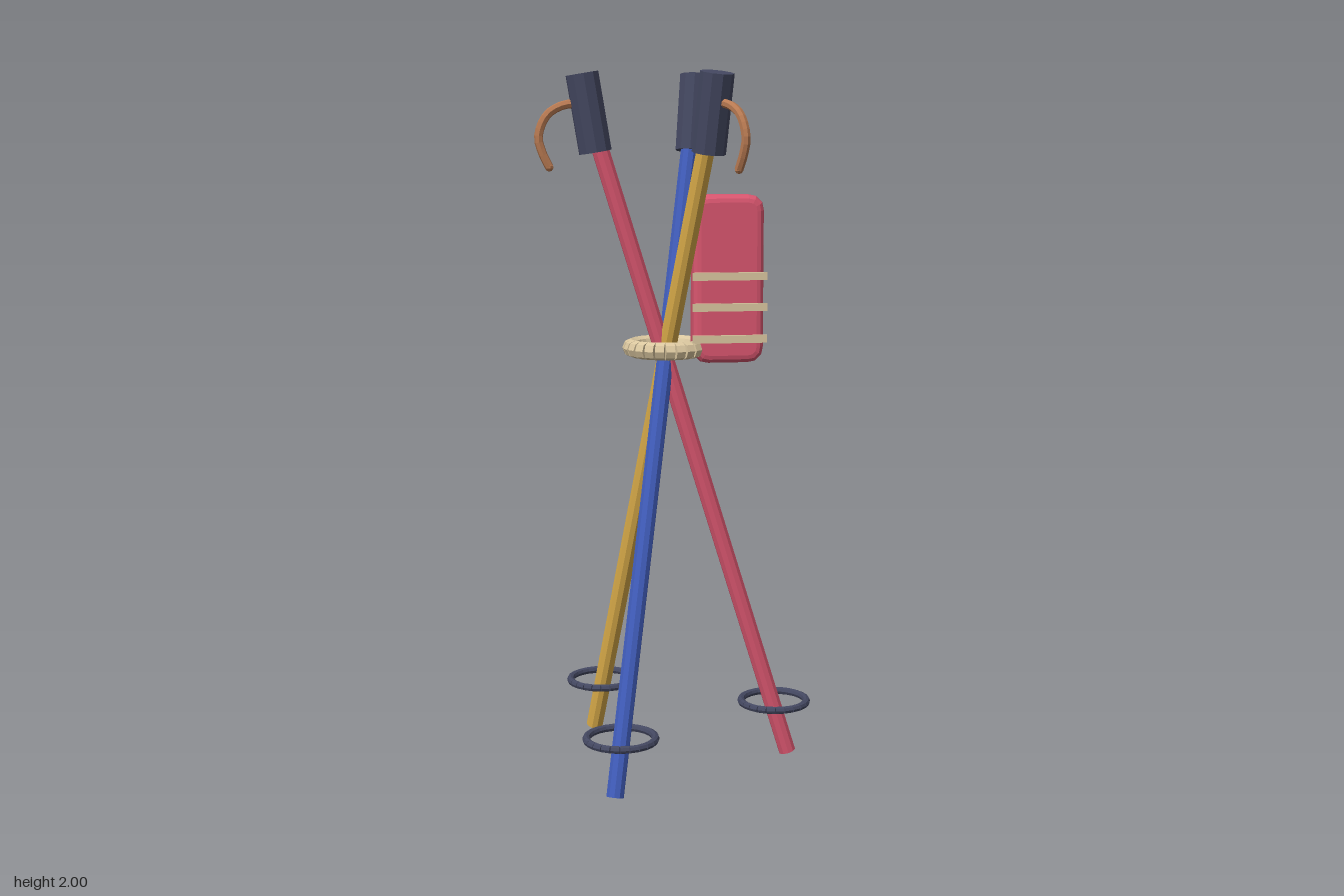
import * as THREE from 'three';

const mat = (name, color, flatShading = true) => {
  const m = new THREE.MeshStandardMaterial({ color, flatShading });
  m.name = name;
  return m;
};

const AXIS_X = -0.035; // vertical axis where the poles cross

export function createModel() {
  const red = mat('red', 0xd9566f);
  const blue = mat('blue', 0x405cba);
  const yellow = mat('yellow', 0xdcae4a);
  const dark = mat('dark slate', 0x444861);
  const brown = mat('leather brown', 0xb87a52);
  const beige = mat('rope beige', 0xdcc8a0);

  const add = (parent, name, geo, material) => {
    const m = new THREE.Mesh(geo, material);
    m.name = name;
    parent.add(m);
    return m;
  };

  // Straight rod between two points
  const rod = (parent, name, a, b, radius, sides, material) => {
    const dir = b.clone().sub(a);
    const m = add(parent, name, new THREE.CylinderGeometry(radius, radius, dir.length(), sides), material);
    m.position.copy(a).add(b).multiplyScalar(0.5);
    m.quaternion.setFromUnitVectors(new THREE.Vector3(0, 1, 0), dir.normalize());
    return m;
  };

  // Horizontal ring made of short straight segments
  const segmentedRing = (name, radius, tube, count, material) => {
    const ring = new THREE.Group();
    ring.name = name;
    const geo = new THREE.CylinderGeometry(tube, tube, (2 * Math.PI * radius) / count, 8);
    geo.rotateX(Math.PI / 2);
    geo.translate(radius, 0, 0);
    for (let i = 0; i < count; i++) {
      add(ring, name + 'Segment', geo, material).rotation.y = (i / count) * Math.PI * 2;
    }
    return ring;
  };

  const V = (x, y, z = 0) => new THREE.Vector3(x, y, z);

  // One ski pole leaning outwards along +x at its foot
  const makePole = (name, shaftMaterial, angle) => {
    const pole = new THREE.Group();
    pole.name = name;
    rod(pole, 'shaft', V(0.365, 0.0075), V(-0.212, 1.88), 0.025, 10, shaftMaterial);
    rod(pole, 'grip', V(-0.196, 1.776), V(-0.232, 1.992), 0.047, 10, dark);

    const basket = segmentedRing('basket', 0.096, 0.011, 24, dark);
    basket.position.set(0.323, 0.165, 0);
    pole.add(basket);

    // Wrist strap hanging outwards from the grip
    const path = new THREE.CatmullRomCurve3([
      V(-0.235, 1.91), V(-0.285, 1.905), V(-0.33, 1.878), V(-0.354, 1.82), V(-0.344, 1.775), V(-0.325, 1.735),
    ]);
    add(pole, 'wristStrap', new THREE.TubeGeometry(path, 14, 0.0125, 7), brown);
    const tip = add(pole, 'wristStrapTip', new THREE.SphereGeometry(0.0125, 7, 5), brown);
    tip.position.set(-0.325, 1.735, 0);

    pole.position.x = AXIS_X;
    pole.rotation.y = angle;
    return pole;
  };

  const model = new THREE.Group();
  model.name = 'skiPoleTripod';
  model.add(
    makePole('redPole', red, 0),
    makePole('yellowPole', yellow, (2 * Math.PI) / 3),
    makePole('bluePole', blue, (-2 * Math.PI) / 3),
  );

  // Rope lashing around the crossing
  const lashing = segmentedRing('ropeLashing', 0.097, 0.025, 24, beige);
  lashing.position.set(AXIS_X, 1.225, 0);
  model.add(lashing);

  // Soft pack: rounded rectangle with bevelled front and back
  const bevel = 0.022;
  const hw = 0.101 - bevel, hh = 0.237 - bevel, r = 0.025;
  const outline = new THREE.Shape();
  outline.moveTo(-hw + r, -hh);
  outline.lineTo(hw - r, -hh);
  outline.quadraticCurveTo(hw, -hh, hw, -hh + r);
  outline.lineTo(hw, hh - r);
  outline.quadraticCurveTo(hw, hh, hw - r, hh);
  outline.lineTo(-hw + r, hh);
  outline.quadraticCurveTo(-hw, hh, -hw, hh - r);
  outline.lineTo(-hw, -hh + r);
  outline.quadraticCurveTo(-hw, -hh, -hw + r, -hh);
  const depth = 0.08 - 2 * bevel;
  const packGeo = new THREE.ExtrudeGeometry(outline, {
    depth, bevelThickness: bevel, bevelSize: bevel, bevelSegments: 3, curveSegments: 3,
  });
  packGeo.translate(0, 0, -depth / 2);
  add(model, 'pack', packGeo, red).position.set(0.137, 1.422, 0.032);

  // Lashing straps across the front of the pack
  for (const y of [1.255, 1.345, 1.432]) {
    add(model, 'packStrap', new THREE.BoxGeometry(0.212, 0.022, 0.0095), beige).position.set(0.138, y, 0.08);
  }

  return model;
}
